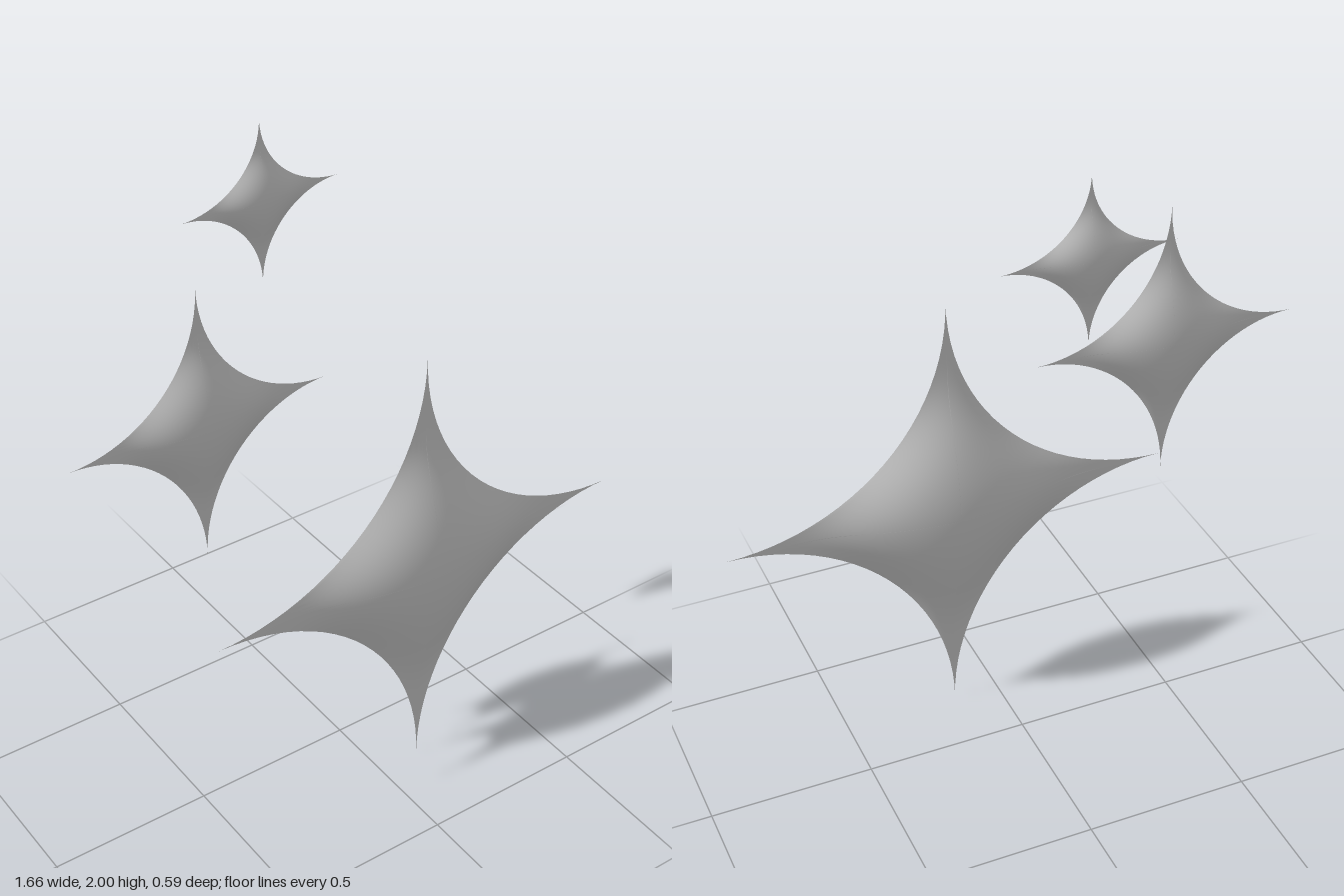
import * as THREE from 'three';
import { mergeGeometries } from 'three/addons/utils/BufferGeometryUtils.js';

const RINGS = 32;
const QUARTER = 24;
const SEGMENTS = QUARTER * 4;

// Point of the unit outline: four quarter circles centred on (±1, ±1), touching at the tips.
function outlinePoint(j) {
  const a = ((j % QUARTER) / QUARTER) * Math.PI / 2;
  let u = 1 - Math.sin(a);
  let v = 1 - Math.cos(a);
  for (let q = Math.floor(j / QUARTER); q > 0; q--) [u, v] = [-v, u];
  return [u, v];
}

// Smooth pillow height: 1 in the middle, 0 on all four arcs, fading along the arms.
function puff(u, v) {
  let h = Math.exp(-((Math.hypot(u, v) / 0.58) ** 5));
  for (const cx of [-1, 1]) {
    for (const cy of [-1, 1]) h *= Math.max(0, (u - cx) ** 2 + (v - cy) ** 2 - 1);
  }
  return h;
}

// One puffed face built from concentric copies of the outline.
function starFace({ up, side, down, depth }) {
  const positions = [0, 0, depth];
  const indices = [];
  for (let i = 1; i <= RINGS; i++) {
    const s = i / RINGS;
    for (let j = 0; j < SEGMENTS; j++) {
      const [u, v] = outlinePoint(j).map((c) => c * s);
      positions.push(u * side, v * (v > 0 ? up : down), depth * puff(u, v));
    }
  }
  const at = (i, j) => 1 + (i - 1) * SEGMENTS + (j % SEGMENTS);
  for (let j = 0; j < SEGMENTS; j++) {
    indices.push(0, at(1, j), at(1, j + 1));
    for (let i = 1; i < RINGS; i++) {
      indices.push(at(i, j), at(i + 1, j), at(i + 1, j + 1));
      indices.push(at(i, j), at(i + 1, j + 1), at(i, j + 1));
    }
  }
  const geometry = new THREE.BufferGeometry();
  geometry.setAttribute('position', new THREE.Float32BufferAttribute(positions, 3));
  geometry.setIndex(indices);
  geometry.computeVertexNormals();
  return geometry;
}

// Front and back faces meet in a sharp rim.
function starGeometry(size) {
  const front = starFace(size);
  return mergeGeometries([front, front.clone().rotateY(Math.PI)]);
}

export function createModel() {
  const model = new THREE.Group();
  model.name = 'sparkles';
  const material = new THREE.MeshStandardMaterial({ color: 0xcccccc });
  // Arm lengths differ: the lower arm is the longest.
  const stars = [
    { name: 'largeStar', up: 0.69, side: 0.69, down: 0.74, depth: 0.086, position: [0.14, 0.74, 0.21] },
    { name: 'mediumStar', up: 0.415, side: 0.4, down: 0.44, depth: 0.05, position: [-0.43, 1.31, -0.027] },
    { name: 'smallStar', up: 0.237, side: 0.253, down: 0.26, depth: 0.03, position: [-0.07, 1.763, -0.268] },
  ];
  for (const { name, position, ...size } of stars) {
    const star = new THREE.Mesh(starGeometry(size), material);
    star.name = name;
    star.position.set(...position);
    model.add(star);
  }
  return model;
}
